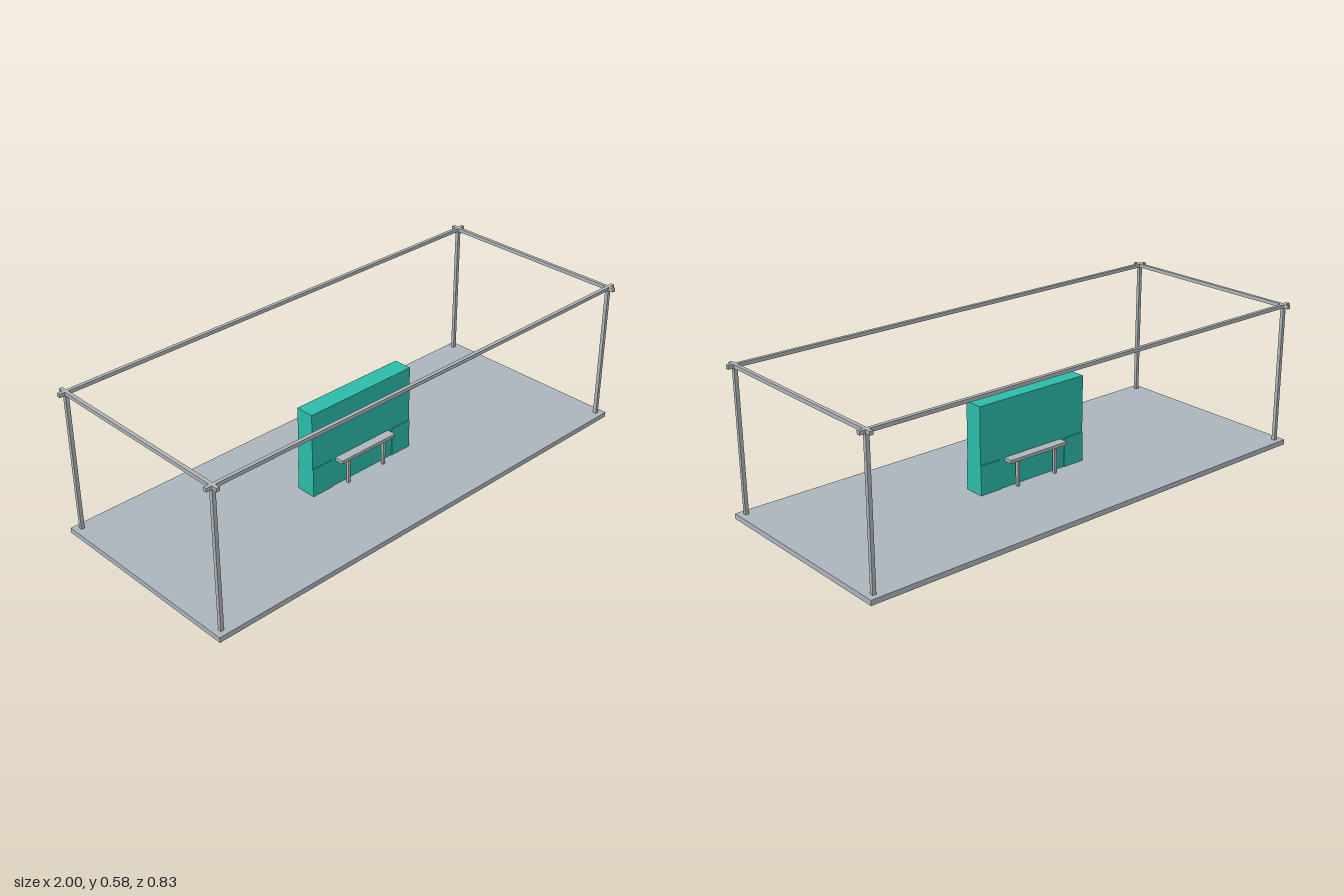
import * as THREE from 'three';

const material = (name, color) => {
  const m = new THREE.MeshStandardMaterial({ color });
  m.name = name;
  return m;
};

export function createModel() {
  const model = new THREE.Group();
  model.name = 'exhibitionStand';
  const floorGrey = material('floorGrey', 0xabb4bc);
  const metalGrey = material('metalGrey', 0xafb4b8);
  const teal = material('teal', 0x2bbba8);

  // Box given by its lower and upper corners
  const box = (name, mat, [x0, y0, z0], [x1, y1, z1]) => {
    const mesh = new THREE.Mesh(new THREE.BoxGeometry(x1 - x0, y1 - y0, z1 - z0), mat);
    mesh.position.set((x0 + x1) / 2, (y0 + y1) / 2, (z0 + z1) / 2);
    mesh.name = name;
    model.add(mesh);
  };

  const floorTop = 0.021, railLow = 0.569, railTop = 0.583;
  const postX = 0.971, postZ = 0.387, r = 0.007;

  // Floor slab, with the wall foot showing through its underside
  box('floor', floorGrey, [-1, 0.0008, -0.415], [1, floorTop, 0.415]);
  box('wall', teal, [-0.25, 0, -0.0375], [0.25, 0.367, 0.0375]);

  // Overhead frame: rails overlap at the corners and run past the posts
  for (const s of [-1, 1]) {
    const x = s * postX, z = s * postZ;
    box('longRail', metalGrey, [-1, railLow, z - r], [1, railTop, z + r]);
    box('shortRail', metalGrey, [x - r, railLow, -0.415], [x + r, railTop, 0.415]);
    for (const t of [-1, 1]) {
      const pz = t * postZ;
      box('cornerPost', metalGrey, [x - r, floorTop, pz - r], [x + r, railLow, pz + r]);
    }
  }

  // Both faces of the wall carry a counter on two legs and two low panels
  for (const s of [-1, 1]) {
    const span = (a, b) => (s > 0 ? [a, b] : [-b, -a]);
    const [c0, c1] = span(0.0375, 0.0745);
    box('counterTop', metalGrey, [-0.137, 0.127, c0], [0.137, 0.14, c1]);
    const [l0, l1] = span(0.053, 0.0645);
    const [p0, p1] = span(0.0375, 0.0408);
    for (const t of [-1, 1]) {
      const lx = t * 0.091, px = t * 0.203;
      box('counterLeg', metalGrey, [lx - 0.0055, floorTop, l0], [lx + 0.0055, 0.127, l1]);
      box('lowPanel', teal, [px - 0.047, floorTop, p0], [px + 0.047, 0.139, p1]);
    }
  }
  return model;
}
